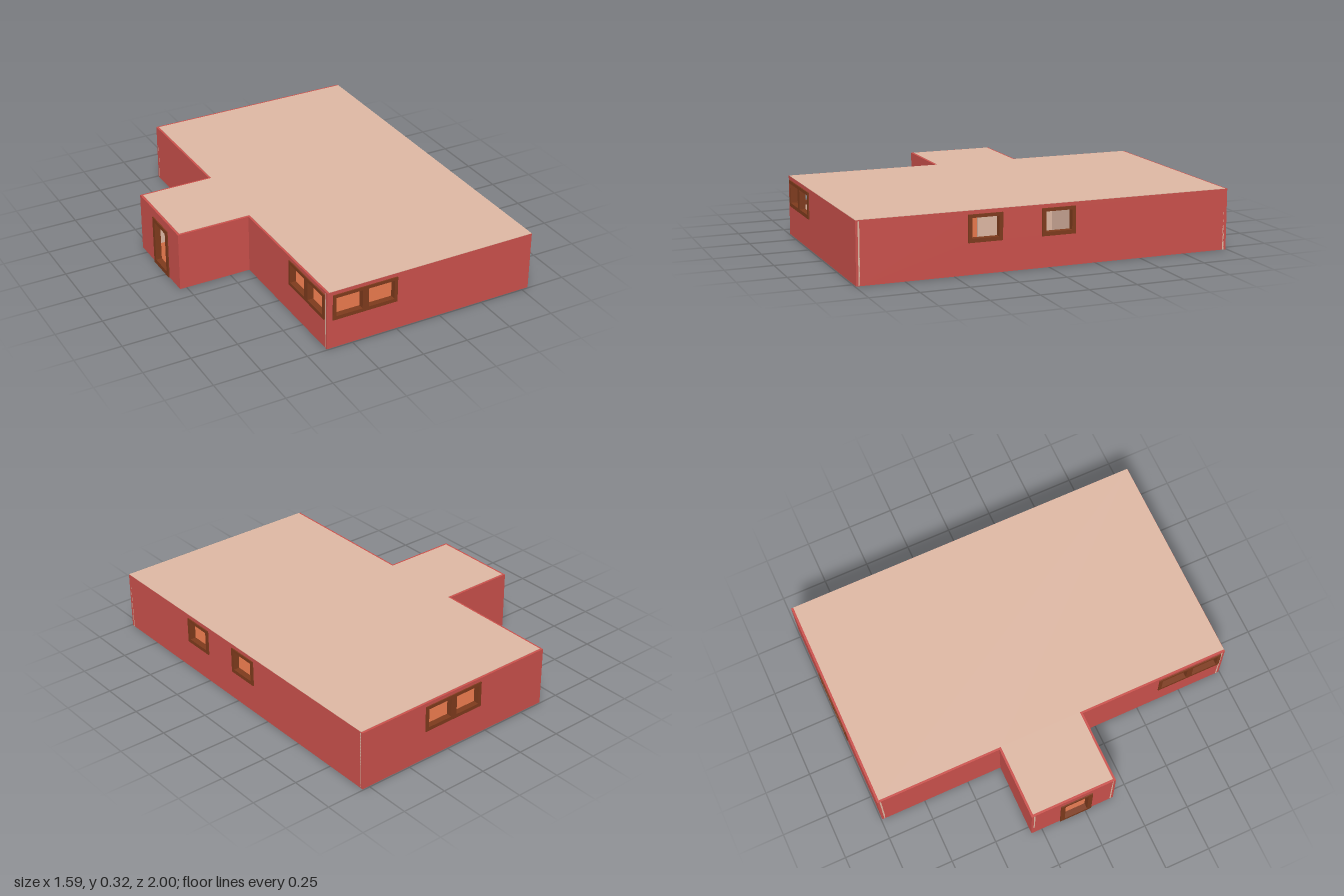
import * as THREE from 'three';

const mat = (color) => new THREE.MeshStandardMaterial({ color, roughness: 0.9 });
const H = 0.319;   // wall height
const T = 0.012;   // outer wall skin
const L = 0.008;   // inner lining

export function createModel() {
  const house = new THREE.Group();
  house.name = 'house';
  const red = mat(0xc9504b), beige = mat(0xdcb6a2), brown = mat(0x7d3a1c), orange = mat(0xcc6a42);

  const add = (parent, name, geo, material) => {
    const mesh = new THREE.Mesh(geo, material);
    mesh.name = name;
    parent.add(mesh);
    return mesh;
  };

  // Upright panel running along axis 'x' or 'z', filling p0..p1 across it.
  // rect and holes are [start, end, bottom, top].
  function panel(parent, name, axis, rect, p0, p1, holes, material) {
    const corners = ([a, b, y0, y1]) => [[a, y0], [b, y0], [b, y1], [a, y1]]
      .map(([x, y]) => new THREE.Vector2(x, y));
    const shape = new THREE.Shape(corners(rect));
    holes.forEach((h) => shape.holes.push(new THREE.Path(corners(h).reverse())));
    const geo = new THREE.ExtrudeGeometry(shape, { depth: p1 - p0, bevelEnabled: false });
    if (axis === 'x') geo.translate(0, 0, p0);
    else geo.rotateY(-Math.PI / 2).translate(p1, 0, 0);
    add(parent, name, geo, material);
  }

  // Outside wall: coloured skin, pale lining, and framed openings.
  // face is the outer plane, out its direction; each opening is { rect, panes }.
  function outerWall(name, axis, a, b, face, out, openings = []) {
    const wall = new THREE.Group();
    wall.name = name;
    house.add(wall);
    const layer = (part, rect, d0, d1, holes, material) => {
      const p = [face + out * d0, face + out * d1].sort((m, n) => m - n);
      panel(wall, part, axis, rect, p[0], p[1], holes, material);
    };
    const cut = openings.map(({ rect: [s, e, y0, y1] }) =>
      [s + 0.006, e - 0.006, Math.max(y0, 0.003) + 0.004, y1 - 0.006]);
    layer('wallSkin', [a, b, 0, H], -T, 0, cut, red);
    layer('wallLining', [a, b, 0.001, H - 0.005], -T - L, -T, cut, beige);
    openings.forEach(({ part, rect, panes }) =>
      layer(part, rect, -T - L - 0.006, 0.006, panes, brown));
  }

  const Y0 = 0.18, Y1 = 0.283;
  const singleWindow = (s) => ({
    part: 'windowFrame', rect: [s, s + 0.18, 0.16, 0.3],
    panes: [[s + 0.02, s + 0.16, Y0, Y1]],
  });
  const doubleWindow = (s) => ({
    part: 'windowFrame', rect: [s, s + 0.36, 0.16, 0.3],
    panes: [[s + 0.018, s + 0.163, Y0, Y1], [s + 0.197, s + 0.342, Y0, Y1]],
  });
  const door = {
    part: 'doorFrame', rect: [-0.145, 0.035, 0, 0.272],
    panes: [[-0.12, 0.01, 0.025, 0.25]],
  };

  // Main block
  const zIn = 0.994 - T;
  outerWall('frontWall', 'x', -0.39, 0.789, 0.994, 1, [doubleWindow(-0.36)]);
  outerWall('backWall', 'x', -0.39, 0.789, -0.994, -1, [doubleWindow(0.037)]);
  outerWall('rightWall', 'z', -zIn, zIn, 0.789, 1, [singleWindow(-0.14), singleWindow(0.248)]);
  outerWall('leftFrontWall', 'z', 0.165, zIn, -0.39, -1, [doubleWindow(0.612)]);
  outerWall('leftBackWall', 'z', -zIn, -0.31, -0.39, -1);

  // Entrance block
  outerWall('entranceWall', 'z', -0.31 + T, 0.165 - T, -0.787, -1, [door]);
  outerWall('entranceFrontWall', 'x', -0.787, -0.39 + T, 0.165, 1);
  outerWall('entranceBackWall', 'x', -0.787, -0.39 + T, -0.31, -1);

  // Partitions: axis, start, end, position, doorways
  const rooms = new THREE.Group();
  rooms.name = 'partitions';
  house.add(rooms);
  [
    ['x', 0.03, 0.77, -0.535, []],
    ['x', 0.32, 0.77, -0.23, []],
    ['z', -0.53, 0.16, 0.235, [[-0.14, 0.03, 0.01, 0.275]]],
    ['x', -0.37, 0.03, -0.62, []],
    ['z', -0.62, -0.31, 0.03, []],
    ['x', -0.378, 0.03, -0.304, []],
    ['x', -0.378, 0.02, 0.159, []],
  ].forEach(([axis, a, b, p, holes]) =>
    panel(rooms, 'partition', axis, [a, b, 0, 0.31], p - 0.006, p + 0.006, holes, beige));

  // Horizontal slab over the whole plan, pulled in by `inset` on the left and back sides
  function slab(name, inset, y, thickness, material) {
    const i = inset;
    const plan = [
      [-0.39 + i, 0.993], [0.788, 0.993], [0.788, -0.993 + i], [-0.39 + i, -0.993 + i],
      [-0.39 + i, -0.309 + i], [-0.786 + i, -0.309 + i], [-0.786 + i, 0.164 - i], [-0.39 + i, 0.164 - i],
    ];
    const shape = new THREE.Shape(plan.map(([x, z]) => new THREE.Vector2(x, -z)));
    const geo = new THREE.ExtrudeGeometry(shape, { depth: thickness, bevelEnabled: false });
    geo.rotateX(-Math.PI / 2).translate(0, y, 0);
    add(house, name, geo, material);
  }
  slab('floor', 0.001, 0.001, 0.007, orange);
  slab('roof', 0.011, 0.308, 0.013, beige);

  return house;
}
